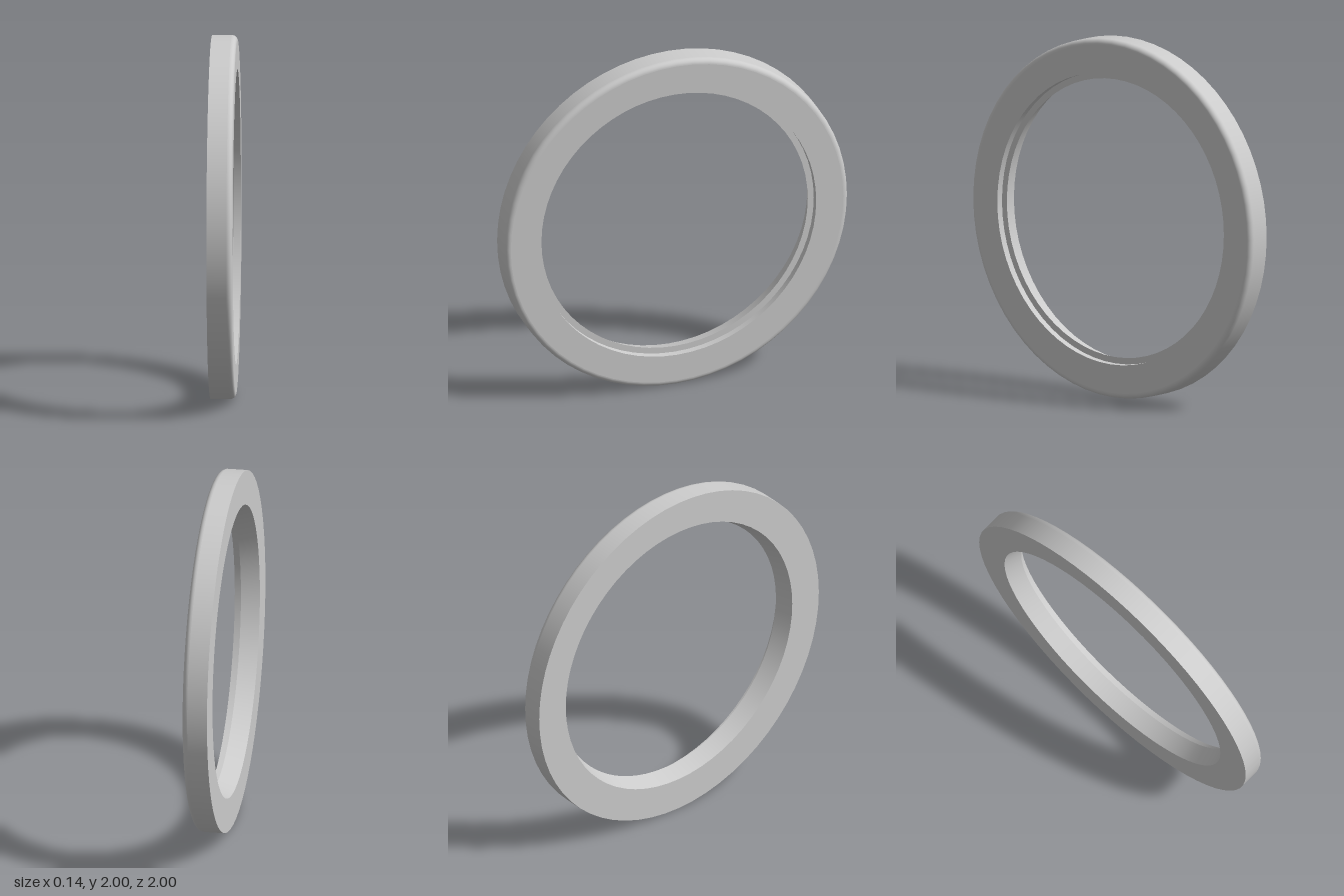
import * as THREE from 'three';
import { mergeGeometries } from 'three/addons/utils/BufferGeometryUtils.js';

const SEGMENTS = 64;

export function createModel() {
  const group = new THREE.Group();
  const R = 1, half = 0.07, fillet = 0.03;
  const seatRadius = 0.812, lipRadius = 0.777, backRadius = 0.81, lipHeight = 0.03;

  // rounded outer edge on the +x side
  const edge = [];
  for (let i = 0; i <= 8; i++) {
    const a = (i / 8) * Math.PI / 2;
    edge.push([R - fillet + fillet * Math.cos(a), half - fillet + fillet * Math.sin(a)]);
  }

  // closed section as [radius, height] runs; each run keeps its own sharp ends
  const runs = [
    [[R, -half], [R, half - fillet]],                      // outer wall
    edge,                                                  // rounded edge
    [[R - fillet, half], [seatRadius, half]],              // stepped face
    [[seatRadius, half], [seatRadius, lipHeight]],         // recess wall
    [[seatRadius, lipHeight], [lipRadius, lipHeight]],     // recess ledge
    [[lipRadius, lipHeight], [backRadius, -half]],         // flared bore
    [[backRadius, -half], [R, -half]],                     // flat back face
  ];
  const parts = runs.map((run) =>
    new THREE.LatheGeometry(run.map(([r, y]) => new THREE.Vector2(r, y)), SEGMENTS));

  const ring = new THREE.Mesh(
    mergeGeometries(parts),
    new THREE.MeshStandardMaterial({ color: 0xcccccc }));
  ring.name = 'steppedRing';
  ring.rotation.z = -Math.PI / 2; // axis along x
  ring.position.y = R;
  group.add(ring);
  return group;
}
